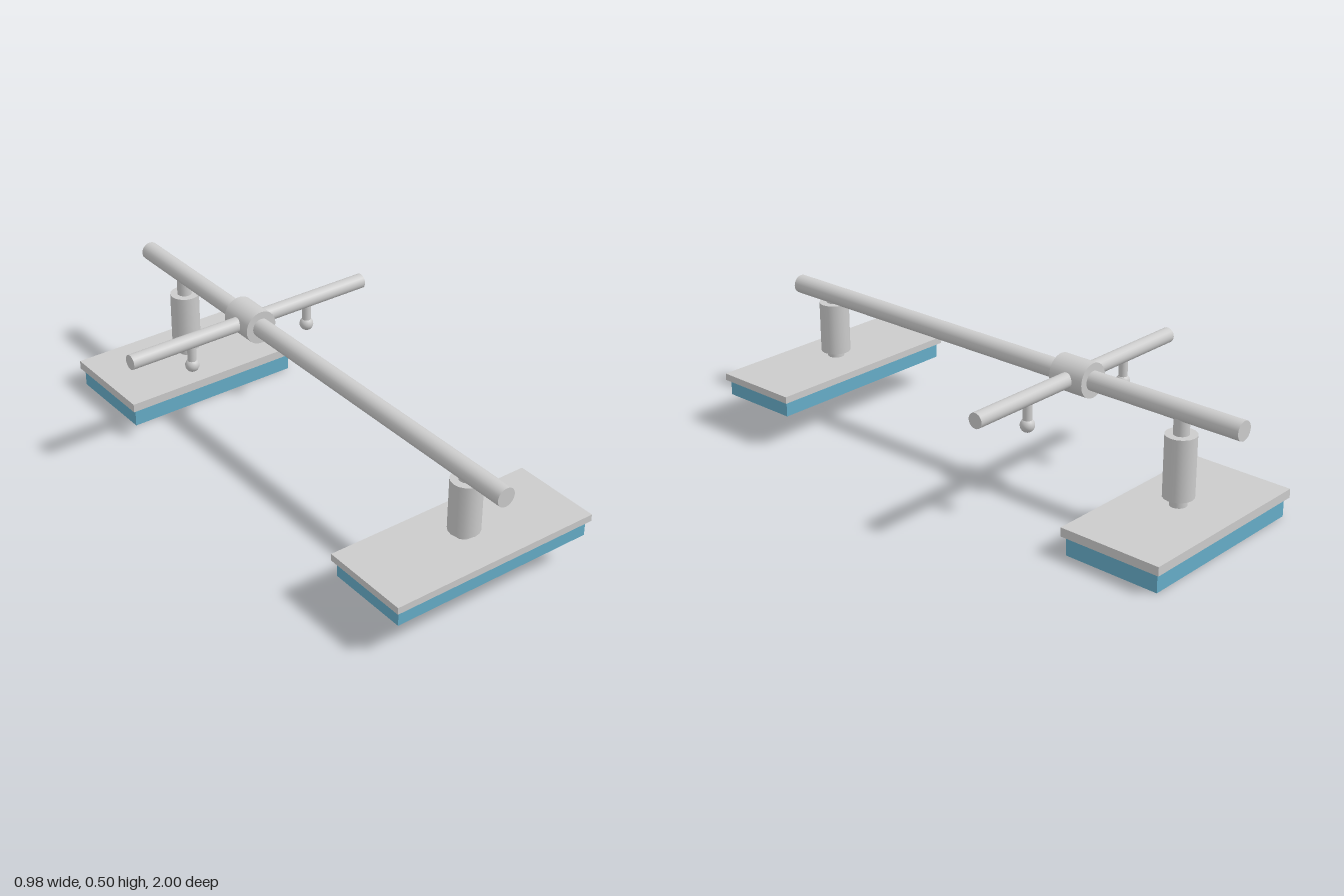
import * as THREE from 'three';

const ROD_Y = 0.44;
const grey = new THREE.MeshStandardMaterial({ color: 0xcccccc });
const blue = new THREE.MeshStandardMaterial({ color: 0x66adc8 });

function add(parent, name, geometry, material, x, y, z) {
  const mesh = new THREE.Mesh(geometry, material);
  mesh.name = name;
  mesh.position.set(x, y, z);
  parent.add(mesh);
  return mesh;
}

// Upright cylinder between two heights
function post(parent, name, radius, bottom, top, x, z, sides = 16) {
  const geometry = new THREE.CylinderGeometry(radius, radius, top - bottom, sides);
  return add(parent, name, geometry, grey, x, (bottom + top) / 2, z);
}

// Flat box between two heights
function slab(parent, name, width, depth, bottom, top, z, material) {
  const geometry = new THREE.BoxGeometry(width, top - bottom, depth);
  return add(parent, name, geometry, material, 0, (bottom + top) / 2, z);
}

// Padded plate hung from the main rod by a sleeved post
function createFoot({ name, z, width, depth, pad, plate, neck, sleeve }) {
  const foot = new THREE.Group();
  foot.name = name;
  slab(foot, 'pad', width - 0.026, depth - 0.026, pad, plate[0], z, blue);
  slab(foot, 'plate', width, depth, plate[0], plate[1], z, grey);
  post(foot, 'lowerNeck', 0.03, neck, sleeve[0], 0, z);
  post(foot, 'sleeve', 0.054, sleeve[0], sleeve[1], 0, z);
  post(foot, 'upperNeck', 0.027, sleeve[1], ROD_Y, 0, z);
  return foot;
}

export function createModel() {
  const model = new THREE.Group();
  model.name = 'paddedFrame';

  // Long rod running front to back
  const rod = add(model, 'mainRod', new THREE.CylinderGeometry(0.034, 0.034, 2, 24), grey, 0, ROD_Y, 0);
  rod.rotation.x = Math.PI / 2;

  // Handlebar clamped to the rod by a collar
  const barZ = -0.34;
  const collar = add(model, 'collar', new THREE.CylinderGeometry(0.061, 0.061, 0.136, 32), grey, 0, ROD_Y, barZ);
  collar.rotation.x = Math.PI / 2;
  const bar = add(model, 'crossBar', new THREE.CylinderGeometry(0.027, 0.027, 0.984, 24), grey, 0, ROD_Y, barZ);
  bar.rotation.z = Math.PI / 2;

  // Ball-ended pegs under the bar
  for (const side of [-1, 1]) {
    const x = side * 0.246;
    post(model, 'pegStem', 0.016, 0.345, 0.42, x, barZ);
    add(model, 'pegBall', new THREE.SphereGeometry(0.025, 20, 14), grey, x, 0.344, barZ);
  }

  model.add(
    createFoot({
      name: 'frontFoot', z: 0.823, width: 0.792, depth: 0.328,
      pad: 0.118, plate: [0.175, 0.2], neck: 0.2, sleeve: [0.222, 0.411],
    }),
    createFoot({
      name: 'rearFoot', z: -0.767, width: 0.71, depth: 0.384,
      pad: 0, plate: [0.068, 0.1], neck: 0.111, sleeve: [0.142, 0.36],
    }),
  );
  return model;
}
